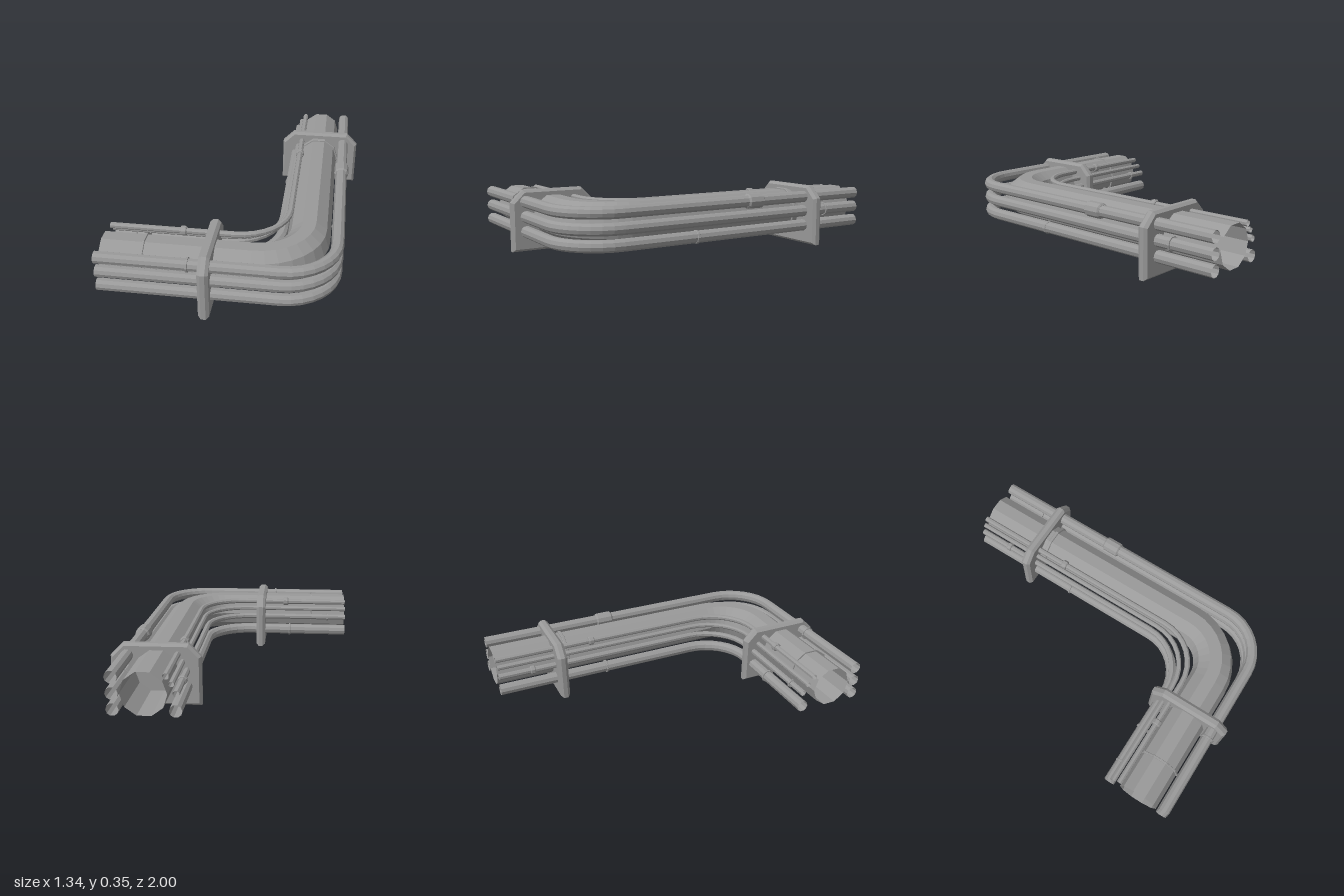
import * as THREE from 'three';

const material = new THREE.MeshStandardMaterial({ color: 0x999999, flatShading: true, side: THREE.DoubleSide });
const BEND = 0.28;          // bend radius shared by every pipe
const START_X = -0.672, END_Z = -1;

const phaseOf = (sides) => (sides === 10 ? 0 : Math.PI / sides); // keeps a flat on top

// Open tube: straight along x, quarter bend, straight along -z
function pipeGeometry({ x, z, y, r, sides }) {
  const steps = 8;
  const path = [[START_X, z, 0]];
  for (let i = 0; i <= steps; i++) {
    const a = (i / steps) * Math.PI / 2;
    path.push([x - BEND + BEND * Math.sin(a), z - BEND + BEND * Math.cos(a), a]);
  }
  path.push([x, END_Z, Math.PI / 2]);

  const pos = [], index = [];
  path.forEach(([px, pz, a], i) => {
    for (let j = 0; j < sides; j++) {
      const p = phaseOf(sides) + (j / sides) * Math.PI * 2;
      const out = r * Math.cos(p);
      pos.push(px + out * Math.sin(a), y + r * Math.sin(p), pz + out * Math.cos(a));
      if (i === path.length - 1) continue;
      const k = (j + 1) % sides, A = i * sides, B = A + sides;
      index.push(A + j, B + j, A + k, B + j, B + k, A + k);
    }
  });
  const g = new THREE.BufferGeometry();
  g.setAttribute('position', new THREE.Float32BufferAttribute(pos, 3));
  g.setIndex(index);
  g.computeVertexNormals();
  return g;
}

// Chamfered ring around a pipe on its front leg ('x') or back leg ('z')
function collarGeometry(pipe, leg, at, extra, length) {
  const r = pipe.r + extra, h = length / 2;
  const c = Math.min(extra * 0.9, length * 0.15);
  const profile = [[pipe.r, -h], [r - c, -h], [r, c - h], [r, h - c], [r - c, h], [pipe.r, h]];
  const g = new THREE.LatheGeometry(profile.map(([u, v]) => new THREE.Vector2(u, v)), pipe.sides, phaseOf(pipe.sides));
  g.rotateZ(-Math.PI / 2);
  if (leg === 'z') g.rotateY(Math.PI / 2);
  return leg === 'x' ? g.translate(at, pipe.y, pipe.z) : g.translate(pipe.x, pipe.y, at);
}

// Bevelled support plate with the two top corners cut off
function plateGeometry() {
  const w = 0.249, h = 0.35, c = 0.07;
  const shape = new THREE.Shape([
    [-w, 0], [w, 0], [w, h - c], [w - c, h], [-w + c, h], [-w, h - c],
  ].map(([u, v]) => new THREE.Vector2(u, v)));
  const g = new THREE.ExtrudeGeometry(shape, {
    depth: 0.026, bevelEnabled: true, bevelThickness: 0.017, bevelSize: 0.014, bevelOffset: -0.014, bevelSegments: 1,
  });
  return g.translate(0, 0, -0.013);
}

export function createModel() {
  const group = new THREE.Group();
  const add = (name, geometry) => {
    const mesh = new THREE.Mesh(geometry, material);
    mesh.name = name;
    group.add(mesh);
    return mesh;
  };

  // Corner position (x, z), height and radius of every pipe
  const pipes = {
    mainPipe: { x: 0.417, z: 0.755, y: 0.2, r: 0.121, sides: 10 },
    outerPipeTop: { x: 0.578, z: 0.919, y: 0.285, r: 0.034, sides: 10 },
    outerPipeMiddle: { x: 0.578, z: 0.919, y: 0.199, r: 0.034, sides: 10 },
    outerPipeBottom: { x: 0.578, z: 0.919, y: 0.113, r: 0.034, sides: 10 },
    innerPipeBottom: { x: 0.257, z: 0.563, y: 0.113, r: 0.034, sides: 10 },
    innerPipeMiddle: { x: 0.252, z: 0.558, y: 0.205, r: 0.018, sides: 8 },
    innerPipeUpper: { x: 0.275, z: 0.588, y: 0.255, r: 0.015, sides: 8 },
    innerPipeTop: { x: 0.302, z: 0.626, y: 0.295, r: 0.017, sides: 8 },
  };
  for (const [name, p] of Object.entries(pipes)) add(name, pipeGeometry(p));

  // Thin bands and thicker couplings: pipe, leg, position, extra radius, length
  const collars = [
    ['mainPipe', 'x', -0.44, 0.01, 0.012],
    ['mainPipe', 'z', -0.55, 0.01, 0.02],
    ['outerPipeTop', 'x', -0.18, 0.007, 0.012],
    ['outerPipeTop', 'z', -0.205, 0.01, 0.11],
    ['outerPipeMiddle', 'z', -0.74, 0.007, 0.012],
    ['outerPipeBottom', 'z', 0.19, 0.004, 0.02],
    ['innerPipeBottom', 'x', -0.29, 0.007, 0.012],
    ['innerPipeBottom', 'z', -0.315, 0.007, 0.012],
    ['innerPipeMiddle', 'x', -0.55, 0.008, 0.012],
    ['innerPipeMiddle', 'z', -0.79, 0.008, 0.03],
    ['innerPipeTop', 'x', -0.26, 0.01, 0.035],
    ['innerPipeTop', 'z', -0.39, 0.01, 0.035],
  ];
  for (const [name, leg, at, extra, length] of collars) {
    add(`${name}Collar`, collarGeometry(pipes[name], leg, at, extra, length));
  }

  // Support plates across each leg
  const front = add('frontSupportPlate', plateGeometry());
  front.rotation.y = Math.PI / 2;
  front.position.set(-0.09, 0, 0.75);
  add('backSupportPlate', plateGeometry()).position.set(0.423, 0, -0.615);

  return group;
}
